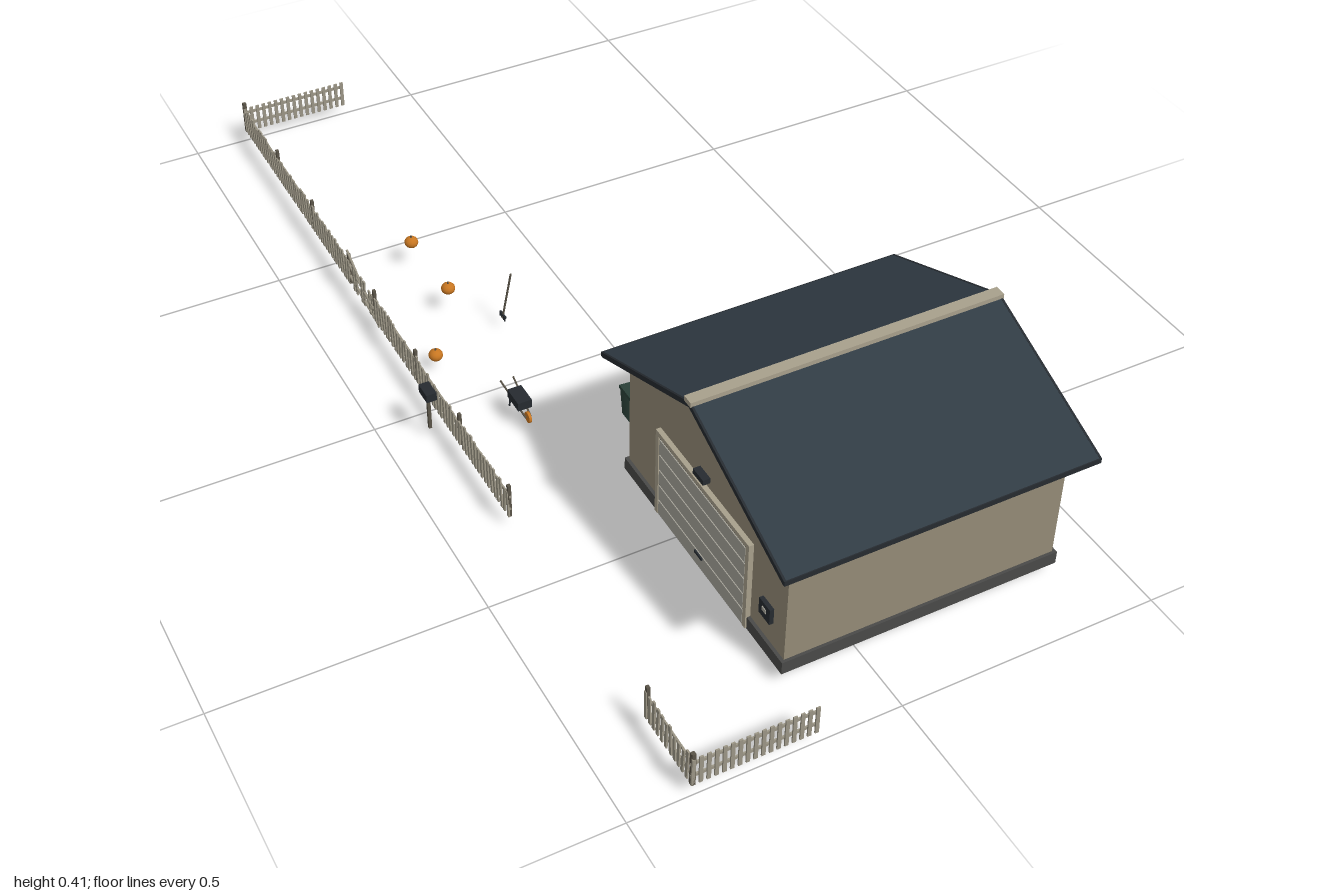
import * as THREE from 'three';

const mat = (name, color, side = THREE.FrontSide) => {
  const m = new THREE.MeshStandardMaterial({ color, side });
  m.name = name;
  return m;
};

export function createModel() {
  const model = new THREE.Group();
  model.name = 'houseAndYard';

  const wall = mat('tan siding', 0x948b77);
  const roofTop = mat('slate roof', 0x303b44);
  const stone = mat('dark concrete', 0x4a4a48);
  const trim = mat('pale trim', 0xa8a08c);
  const doorGrey = mat('door grey', 0xa5a399);
  const wood = mat('weathered wood', 0x9c9686);
  const postWood = mat('dark wood', 0x5a5448);
  const black = mat('near black', 0x262b30);
  const green = mat('bin green', 0x2a4038);
  const orange = mat('orange', 0xc87722);

  let seed = 7;
  const rand = () => ((seed = (seed * 16807) % 2147483647) / 2147483647) * 2 - 1;

  const add = (parent, name, geo, material, x = 0, y = 0, z = 0) => {
    const m = new THREE.Mesh(geo, material);
    m.name = name;
    m.position.set(x, y, z);
    parent.add(m);
    return m;
  };
  const box = (parent, name, material, w, h, d, x, y, z) =>
    add(parent, name, new THREE.BoxGeometry(w, h, d), material, x, y, z);
  const group = (name, x = 0, y = 0, z = 0) => {
    const g = new THREE.Group();
    g.name = name;
    g.position.set(x, y, z);
    model.add(g);
    return g;
  };
  // Straight bar between two points
  const bar = (parent, name, material, a, b, r) => {
    const p = new THREE.Vector3(...a), q = new THREE.Vector3(...b);
    const m = add(parent, name, new THREE.CylinderGeometry(r, r, p.distanceTo(q), 6), material);
    m.position.copy(p).add(q).multiplyScalar(0.5);
    m.quaternion.setFromUnitVectors(new THREE.Vector3(0, 1, 0), q.sub(p).normalize());
    return m;
  };
  // Profile in z and y, extruded along x
  const alongX = (points, length) => {
    const s = new THREE.Shape(points.map(([z, y]) => new THREE.Vector2(z, y)));
    return new THREE.ExtrudeGeometry(s, { depth: length, bevelEnabled: false })
      .translate(0, 0, -length / 2).rotateY(Math.PI / 2);
  };

  // House body
  const house = group('house', 0.121, 0, 0.599);
  box(house, 'foundation', stone, 0.543, 0.026, 0.545, 0, 0.038, 0);
  add(house, 'walls', alongX([[-0.267, 0.05], [0.267, 0.05], [0.267, 0.286], [0, 0.398], [-0.267, 0.286]], 0.53), wall);

  // Roof: one slab and one dark eave strip on each side
  for (const s of [1, -1]) {
    const slab = [[0, 0.397], [s * 0.305, 0.273], [s * 0.305, 0.283], [0, 0.408]];
    add(house, 'roofSlope', alongX(s > 0 ? slab : slab.reverse(), 0.598), roofTop);
    box(house, 'eaveStrip', black, 0.6, 0.01, 0.004, 0, 0.278, s * 0.305);
    for (const e of [1, -1]) {
      const edge = box(house, 'vergeStrip', black, 0.004, 0.01, 0.329, e * 0.2985, 0.3405, s * 0.1525);
      edge.rotation.x = s * Math.atan2(0.125, 0.305);
    }
  }
  box(house, 'ridgeCap', trim, 0.604, 0.01, 0.022, 0, 0.408, -0.002);

  // Garage door in the right gable, with frame, panels and handle
  const garage = group('garageDoor', -0.147, 0.026, 0.602);
  box(garage, 'doorBacking', black, 0.008, 0.18, 0.3, 0, 0.09, 0);
  for (let i = 0; i < 5; i++)
    box(garage, 'doorPanel', doorGrey, 0.01, 0.032, 0.29, -0.001, 0.017 + i * 0.0355, 0);
  for (const s of [1, -1])
    box(garage, 'doorJamb', trim, 0.011, 0.19, 0.01, -0.001, 0.095, s * 0.152);
  box(garage, 'doorHeader', trim, 0.011, 0.01, 0.314, -0.001, 0.185, 0);
  box(garage, 'doorHandle', black, 0.004, 0.005, 0.025, -0.007, 0.03, 0);

  // Wall fittings
  box(model, 'wallLamp', black, 0.014, 0.011, 0.034, -0.152, 0.237, 0.6);
  box(model, 'wallMeter', black, 0.008, 0.033, 0.034, -0.148, 0.117, 0.812);
  box(model, 'meterFace', doorGrey, 0.002, 0.008, 0.012, -0.1525, 0.12, 0.812);

  // Picket fence running along local x from 0 to length
  const fence = (name, x, z, turn, length, posts, wobble, gap = []) => {
    const f = group(name, x, 0, z);
    f.rotation.y = turn;
    const n = Math.round(length / 0.0137);
    for (let i = 0; i <= n; i++) {
      const t = (i / n) * length;
      if (gap.length && t > gap[0] && t < gap[1] && i % 3 === 0) continue;
      const h = 0.059 + wobble * rand() * 0.006;
      const p = box(f, 'picket', wood, 0.007, h, 0.003, t, 0.026 + h / 2, 0.002);
      p.rotation.z = wobble * rand() * 0.09;
    }
    const runs = gap.length ? [[0, gap[0]], [gap[1], length]] : [[0, length]];
    for (const [a, b] of runs)
      for (const y of [0.044, 0.072])
        box(f, 'rail', wood, b - a + 0.008, 0.006, 0.003, (a + b) / 2, y, -0.001);
    for (const t of posts)
      box(f, 'fencePost', postWood, 0.007, 0.072, 0.006, t, 0.061, -0.001);
    return f;
  };
  const q = -Math.PI / 2;
  fence('frontFence', -0.385, 0.998, 0, 0.222, [0], 0);
  fence('backFence', -0.385, -0.998, 0, 0.222, [0], 0);
  fence('sideFenceShort', -0.385, 0.85, q, 0.148, [0, 0.148], 1);
  const side = fence('sideFenceLong', -0.385, -0.998, q, 1.338,
    [0, 0.2, 0.4, 0.6, 0.73, 0.93, 1.13, 1.338], 1, [0.6, 0.73]);

  // Broken rails and a fallen picket in the damaged bay
  bar(model, 'brokenRail', wood, [-0.379, 0.003, -0.268], [-0.388, 0.11, -0.395], 0.0025);
  bar(side, 'saggingRail', wood, [0.6, 0.072, 0], [0.73, 0.055, 0.003], 0.003);
  bar(side, 'saggingRail', wood, [0.6, 0.044, 0], [0.73, 0.034, 0.003], 0.003);

  // Mailbox
  const mail = group('mailbox', -0.416, 0, 0.066);
  box(mail, 'mailboxPost', postWood, 0.006, 0.08, 0.006, 0, 0.065, 0);
  box(mail, 'mailboxBody', black, 0.02, 0.017, 0.036, 0, 0.11, 0);

  // Wheeled bins with overhanging lids
  for (const z of [0.213, 0.273]) {
    const bin = group('bin', -0.071, 0.026, z);
    add(bin, 'binBody', new THREE.CylinderGeometry(0.0275, 0.0235, 0.058, 4, 1).rotateY(Math.PI / 4),
      green, 0, 0.031, 0);
    const lid = box(bin, 'binLid', green, 0.042, 0.007, 0.042, 0, 0.064, 0);
    lid.rotation.z = -0.08;
    for (const s of [1, -1])
      add(bin, 'binWheel', new THREE.CylinderGeometry(0.006, 0.006, 0.004, 10).rotateX(Math.PI / 2),
        black, 0.017, 0.006, s * 0.018);
  }

  // Pumpkins: squashed balls with a stalk
  for (const [x, y, z] of [[-0.243, 0.062, -0.42], [-0.238, 0.062, -0.25], [-0.33, 0.038, -0.103]]) {
    const p = group('pumpkin', x, y, z);
    add(p, 'pumpkinBody', new THREE.SphereGeometry(0.014, 14, 10), orange).scale.y = 0.85;
    add(p, 'pumpkinStalk', new THREE.CylinderGeometry(0.0015, 0.002, 0.005, 5), postWood, 0, 0.013, 0);
  }

  // Wheelbarrow: tray, handles, legs and wheel
  const cart = group('wheelbarrow', -0.25, 0, 0.1);
  box(cart, 'tray', black, 0.028, 0.018, 0.046, 0, 0.055, 0);
  for (const s of [1, -1]) {
    bar(cart, 'handle', postWood, [s * 0.013, 0.06, -0.055], [s * 0.005, 0.037, 0.036], 0.0018);
    bar(cart, 'leg', black, [s * 0.012, 0.048, -0.016], [s * 0.012, 0.026, -0.02], 0.0018);
  }
  add(cart, 'wheel', new THREE.CylinderGeometry(0.011, 0.011, 0.005, 14).rotateZ(Math.PI / 2),
    orange, 0, 0.037, 0.036);

  // Rake leaning in the yard
  const rake = group('rake', -0.156, 0, -0.155);
  bar(rake, 'rakeHandle', postWood, [-0.009, 0.027, -0.003], [0.009, 0.132, 0.003], 0.002);
  box(rake, 'rakeHead', black, 0.004, 0.004, 0.024, -0.008, 0.034, -0.003);
  for (let i = -2; i <= 2; i++)
    box(rake, 'rakeTooth', black, 0.002, 0.008, 0.002, -0.009, 0.029, -0.003 + i * 0.005);

  return model;
}
